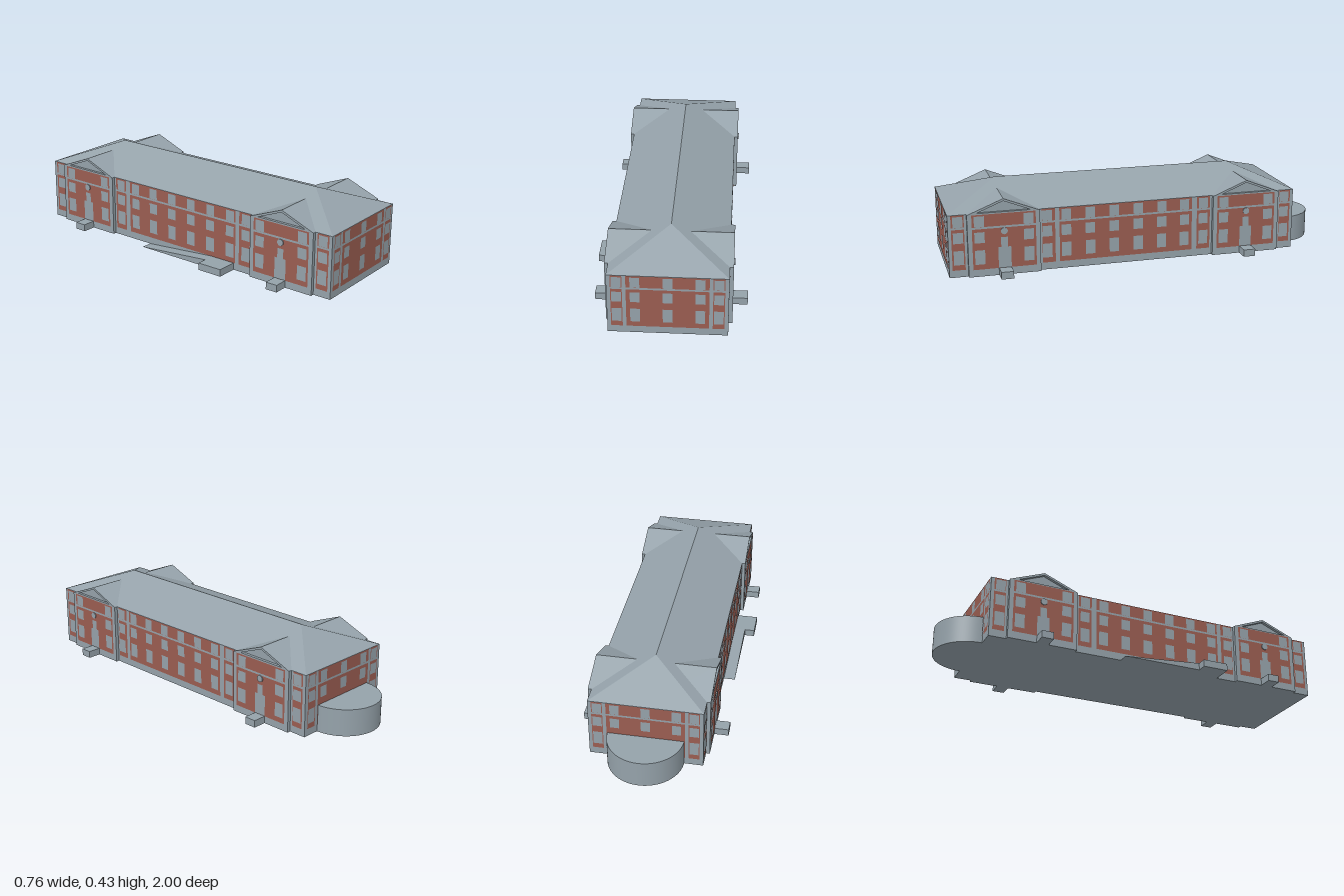
import * as THREE from 'three';

const CX = 0.008;                 // centre line of the building
const HALF = 0.28, WING = 0.298;  // half widths of body and of cross wings
const Z0 = -0.81, Z1 = 0.998;     // back and front walls
const EAVE = 0.318, RIDGE = 0.425, BASE = 0.037;
const WINGS = [0.725, -0.54];     // z centres of the cross wings
const SKIN = 0.0015;              // brick sits this far in front of the stone
const ROWS = [[0.063, 0.136], [0.173, 0.228], [0.2545, 0.309]];

const stone = new THREE.MeshStandardMaterial({ color: 0x95a2aa });
stone.name = 'grey stone';
const brick = new THREE.MeshStandardMaterial({ color: 0x9a5d51 });
brick.name = 'red brick';

function add(parent, name, geometry, material = stone) {
  const mesh = new THREE.Mesh(geometry, material);
  mesh.name = name;
  parent.add(mesh);
  return mesh;
}

// Box given by its minimum and maximum corners
function box(parent, name, [x0, y0, z0], [x1, y1, z1]) {
  const m = add(parent, name, new THREE.BoxGeometry(x1 - x0, y1 - y0, z1 - z0));
  m.position.set((x0 + x1) / 2, (y0 + y1) / 2, (z0 + z1) / 2);
  return m;
}

const path = (pts, Type = THREE.Path) => new Type(pts.map(p => new THREE.Vector2(...p)));
const rect = (a, b, c, d) => [[a, c], [b, c], [b, d], [a, d]];

// Brick panel in two storeys' bands, with window openings showing the stone
function panel(parent, a, b, windows, width, doorAt) {
  const [lo, hi] = [Math.min(a, b), Math.max(a, b)];
  [[BASE, 0.244, ROWS.slice(0, 2)], [0.254, EAVE - 0.001, ROWS.slice(2)]].forEach(([y0, y1, rows], i) => {
    const shape = path(rect(lo, hi, y0, y1), THREE.Shape);
    for (const u of windows) {
      for (const [c, d] of rows) shape.holes.push(path(rect(u - width / 2, u + width / 2, c, d)));
    }
    if (doorAt !== undefined && i === 0) {
      const outline = [[-0.032, 0.0375], [0.032, 0.0375], [0.032, 0.145], [0.017, 0.145],
        [0.017, 0.195], [-0.017, 0.195], [-0.017, 0.145], [-0.032, 0.145]];
      shape.holes.push(path(outline.map(([u, y]) => [u + doorAt, y])));
    }
    add(parent, 'brickPanel', new THREE.ShapeGeometry(shape), brick);
  });
}

// Hipped roof over the main body
function hipRoof() {
  const l = CX - HALF, r = CX + HALF;
  const A = [l, EAVE, Z1], B = [r, EAVE, Z1], C = [r, EAVE, Z0], D = [l, EAVE, Z0];
  const F = [CX, RIDGE, 0.72], K = [CX, RIDGE, -0.535];
  const tris = [A, B, F, B, C, K, B, K, F, C, D, K, D, A, F, D, F, K];
  const g = new THREE.BufferGeometry();
  g.setAttribute('position', new THREE.Float32BufferAttribute(tris.flat(), 3));
  g.computeVertexNormals();
  return g;
}

// Gable running inwards from a wing wall, with a framed, sunken pediment
function gable(parent) {
  const outer = [[-0.18, EAVE], [0.18, EAVE], [0, 0.39]];
  const inner = [[-0.135, 0.324], [0.135, 0.324], [0, 0.378]];
  const frame = path(outer, THREE.Shape);
  frame.holes.push(path(inner));
  add(parent, 'pedimentFrame', new THREE.ExtrudeGeometry(frame, { depth: 0.015, bevelEnabled: false }))
    .position.z = -0.015;
  add(parent, 'gableRoof', new THREE.ExtrudeGeometry(path(outer, THREE.Shape), { depth: 0.23, bevelEnabled: false }))
    .position.z = -0.245;
}

export function createModel() {
  const model = new THREE.Group();
  model.name = 'building';

  // Main body, roof and rounded rear bay
  box(model, 'mainBody', [CX - HALF, 0, Z0], [CX + HALF, EAVE, Z1]);
  add(model, 'hipRoof', hipRoof());
  const bay = add(model, 'roundBay', new THREE.CylinderGeometry(0.187, 0.187, 0.138, 48, 1, false, Math.PI / 2, Math.PI));
  bay.position.set(CX, 0.069, Z0);
  bay.scale.z = 0.19 / 0.187;

  // End facades
  for (const [name, z, turn] of [['frontFacade', Z1 + SKIN, 0], ['backFacade', Z0 - SKIN, Math.PI]]) {
    const end = new THREE.Group();
    end.name = name;
    end.position.set(CX, 0, z);
    end.rotation.y = turn;
    panel(end, -0.191, 0.191, [-0.15, 0, 0.15], 0.045);
    for (const s of [-1, 1]) panel(end, s * 0.208, s * 0.262, [s * 0.235], 0.045);
    model.add(end);
  }

  // Cross wings pass through the body
  for (const z of WINGS) {
    box(model, 'crossWing', [CX - WING, 0, z - 0.18], [CX + WING, EAVE, z + 0.18]);
  }

  // Long facades, mirrored
  for (const s of [-1, 1]) {
    const u = z => -s * z;
    const side = new THREE.Group();
    side.name = s > 0 ? 'leftFacade' : 'rightFacade';
    side.position.x = CX + s * (HALF + SKIN);
    side.rotation.y = s * Math.PI / 2;
    model.add(side);
    const bays = [
      [0.982, 0.918, [0.949]],
      [0.533, 0.467, [0.507]],
      [0.445, -0.25, [0.41, 0.287, 0.163, 0.037, -0.088, -0.21]],
      [-0.277, -0.348, [-0.312]],
      [-0.733, -0.793, [-0.76]],
    ];
    for (const [a, b, zs] of bays) panel(side, u(a), u(b), zs.map(u), 0.049);

    for (const z of WINGS) {
      const face = new THREE.Group();
      face.name = 'wingFacade';
      face.position.set(CX + s * WING, 0, z);
      face.rotation.y = s * Math.PI / 2;
      model.add(face);
      const skin = new THREE.Group();
      skin.name = 'wingBrickwork';
      skin.position.z = SKIN;
      face.add(skin);
      panel(skin, -0.158, 0.158, [-0.122, 0.122], 0.05, 0);
      gable(face);
      // Round medallion above the door
      const disc = add(face, 'medallion', new THREE.CylinderGeometry(0.017, 0.017, 0.008, 24));
      disc.rotation.x = Math.PI / 2;
      disc.position.set(0, 0.227, 0.002);
      // Door step
      box(face, 'doorStep', [-0.031, 0, -0.01], [0.031, BASE, 0.071]);
    }
  }

  // Side landing with a sloping ramp
  box(model, 'landing', [-0.382, 0, 0.3], [-0.26, BASE, 0.435]);
  const ramp = path([[-0.3, 0], [0.115, 0], [-0.3, BASE]], THREE.Shape);
  const rampMesh = add(model, 'ramp', new THREE.ExtrudeGeometry(ramp, { depth: 0.07, bevelEnabled: false }));
  rampMesh.rotation.y = Math.PI / 2;
  rampMesh.position.x = -0.33;

  return model;
}
